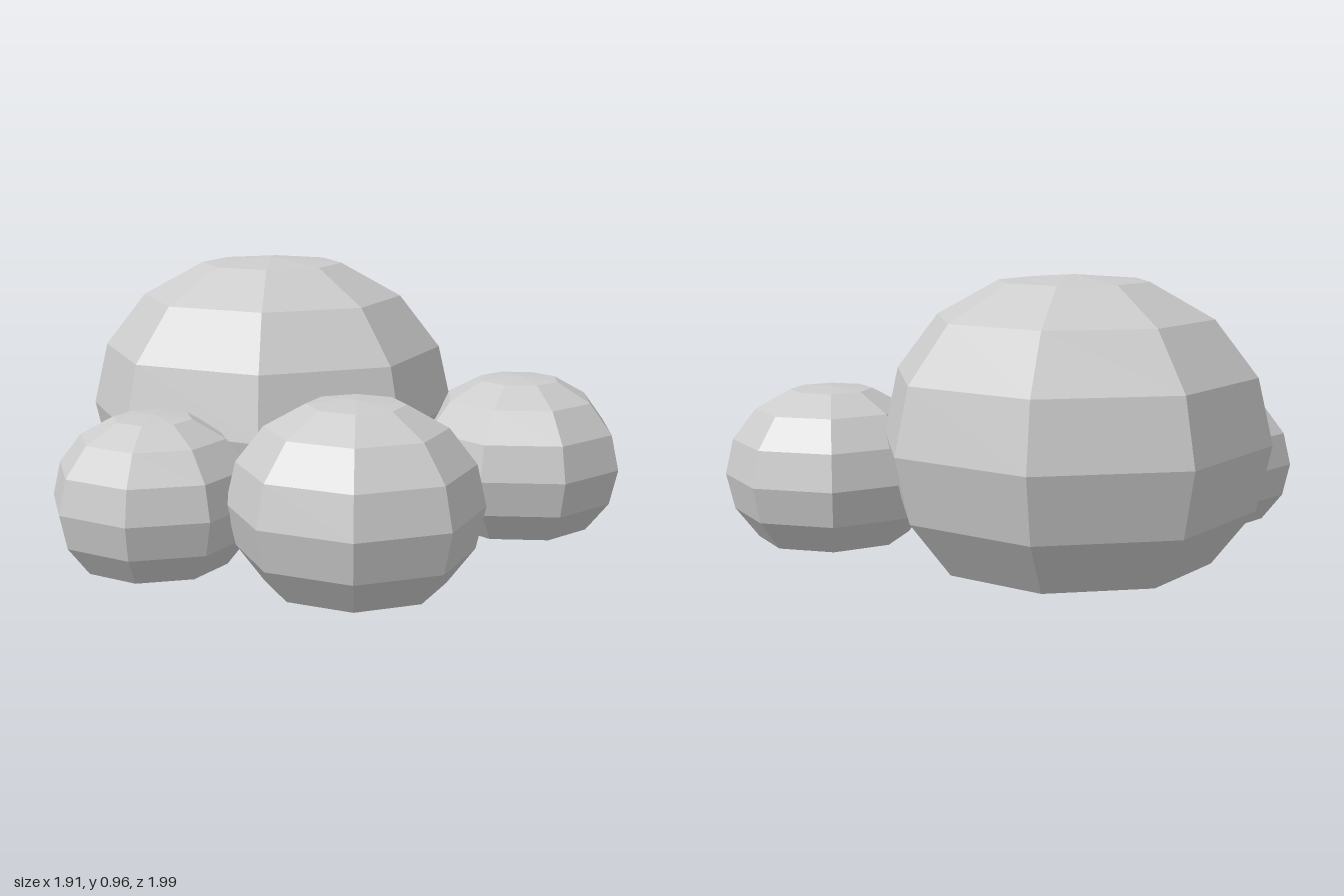
import * as THREE from 'three';

// Eight-sided dome of unit radius, open at the base: rows of [radius, height]
const PROFILE = [
  [0.707, 0], [0.924, 0.28], [1, 0.613], [0.924, 0.945],
  [0.707, 1.226], [0.383, 1.405], [0, 1.437],
];

export function createModel() {
  const group = new THREE.Group();
  const material = new THREE.MeshStandardMaterial({
    color: 0xcccccc, flatShading: true, side: THREE.DoubleSide,
  });
  const domeGeometry = new THREE.LatheGeometry(
    PROFILE.map(([r, y]) => new THREE.Vector2(r, y)), 8);

  // Each dome is the same form, scaled and turned about its own axis
  const addDome = (name, radius, x, y, z, turn = 0) => {
    const dome = new THREE.Mesh(domeGeometry, material);
    dome.name = name;
    dome.scale.setScalar(radius);
    dome.position.set(x, y, z);
    dome.rotation.y = THREE.MathUtils.degToRad(turn);
    group.add(dome);
  };

  addDome('largeDome', 0.67, -0.286, 0, -0.081);
  addDome('mediumDome', 0.417, 0.534, 0, 0.278);
  addDome('frontDome', 0.349, -0.053, 0.01, 0.642, -6.3);
  addDome('backDome', 0.38, 0.43, 0, -0.647, -24.3);

  return group;
}
